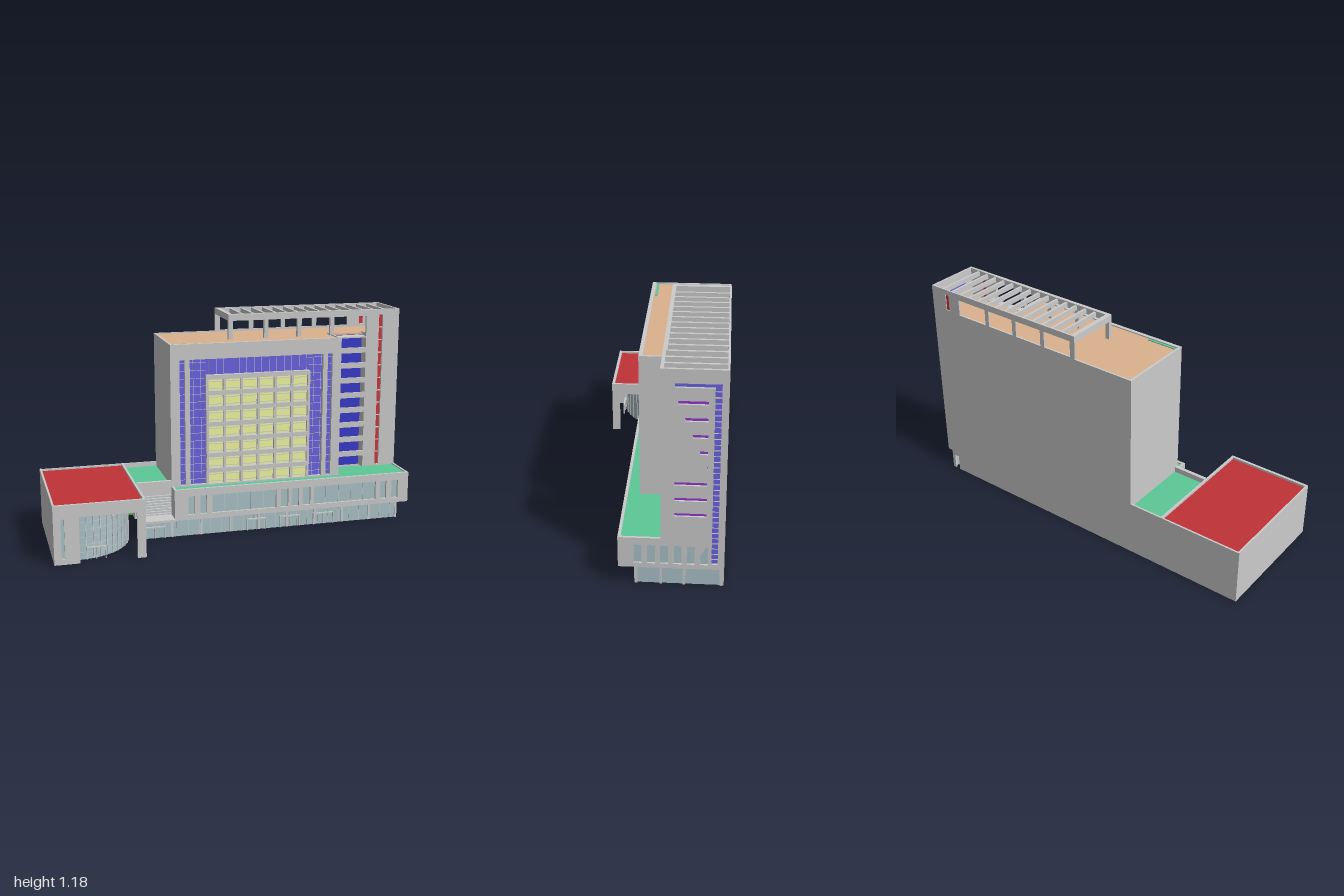
import * as THREE from 'three';

const paint = (color, extra = {}) => new THREE.MeshStandardMaterial({ color, ...extra });

export function createModel() {
  const root = new THREE.Group();
  root.name = 'building';
  const two = { side: THREE.DoubleSide };
  const M = {
    grey: paint(0xcccccc), glass: paint(0xaac2c8, two), blue: paint(0x6a62e0, two),
    navy: paint(0x3a3acb, two), yellow: paint(0xf0f8a0, two), red: paint(0xd03436, two),
    purple: paint(0x9038d0, two), redRoof: paint(0xc03236), green: paint(0x5cc898),
    floorGreen: paint(0x4fa83c), tan: paint(0xdcb28e),
  };

  function group(name) {
    const g = new THREE.Group();
    g.name = name;
    root.add(g);
    return g;
  }
  function add(parent, name, geo, mat) {
    const m = new THREE.Mesh(geo, mat);
    m.name = name;
    parent.add(m);
    return m;
  }
  // Box given by its limits
  function box(parent, name, mat, x0, x1, y0, y1, z0, z1) {
    const m = add(parent, name, new THREE.BoxGeometry(x1 - x0, y1 - y0, z1 - z0), mat);
    m.position.set((x0 + x1) / 2, (y0 + y1) / 2, (z0 + z1) / 2);
    return m;
  }
  const rect = (a, b, c, d) => [[a, c], [b, c], [b, d], [a, d]];
  const shapeOf = pts => new THREE.Shape(pts.map(p => new THREE.Vector2(p[0], p[1])));

  // Upright wall (extruded outward) with openings and panels set near its inner face
  function facade(name, outline, windows, depth = 0.015, inset = 0.002) {
    const g = group(name);
    const wall = shapeOf(outline);
    for (const w of windows) {
      wall.holes.push(shapeOf(w.pts));
      if (w.mat) add(g, 'panel', new THREE.ShapeGeometry(shapeOf(w.pts)), w.mat).position.z = inset;
    }
    add(g, 'wall', new THREE.ExtrudeGeometry(wall, { depth, bevelEnabled: false }), M.grey);
    return g;
  }
  // Turns a facade to face +x: its horizontal coordinate becomes -z
  function faceRight(g, x) {
    g.rotation.y = Math.PI / 2;
    g.position.x = x;
  }

  // ---- Back wall, with the roof frame openings at the top
  const openings = [[0.04, 0.21], [0.235, 0.4], [0.425, 0.59], [0.615, 0.805]];
  const back = facade('backWall',
    [[-1, 0], [0.92, 0], [0.92, 0.09], [0.95, 0.09], [0.95, 0], [0.97, 0], [0.97, 0.115], [1, 0.115],
      [1, 1.18], [0.01, 1.18], [0.01, 1.05], [-0.34, 1.05], [-0.34, 0.31], [-1, 0.31]],
    [...openings.map(o => ({ pts: rect(o[0], o[1], 1.055, 1.145) })),
      { pts: rect(0.88, 0.903, 1.06, 1.15), mat: M.red }], 0.01, 0.005);
  back.position.z = -0.35;

  // ---- Right wall with its coloured strips and podium windows
  const side = [];
  for (const [a, b] of [[-0.085, -0.045], [-0.02, 0.02], [0.043, 0.08], [0.106, 0.145], [0.17, 0.208]])
    side.push({ pts: rect(a, b, 0.14, 0.245), mat: M.glass });
  side.push({ pts: [[0.235, 0.14], [0.272, 0.14], [0.272, 0.245], [0.262, 0.245], [0.235, 0.195]], mat: M.glass });
  side.push({ pts: [[0.288, 0.145], [0.318, 0.145], [0.318, 1.11], [0.11, 1.11], [0.11, 1.09], [0.288, 1.09]], mat: M.blue });
  [[1.015, 0.12], [0.93, 0.153], [0.845, 0.187], [0.76, 0.22], [0.68, 0.253], [0.593, 0.11], [0.508, 0.11], [0.423, 0.11]]
    .forEach(([y, a], i) => {
      const slant = i < 5 ? 0.006 : 0;
      side.push({ pts: [[a + slant, y - 0.009], [0.26, y - 0.009], [0.26, y + 0.009], [a, y + 0.009]], mat: M.purple });
    });
  faceRight(facade('rightWall',
    [[-0.16, 0.115], [0.35, 0.115], [0.35, 1.18], [0.045, 1.18], [0.045, 0.285], [-0.16, 0.285]], side, 0.012), 0.988);
  for (let y = 0.17; y < 1.1; y += 0.03) box(root, 'stripBar', M.grey, 0.991, 0.995, y, y + 0.002, -0.318, -0.288);

  // ---- Podium
  const podium = [[-0.265, -0.23], [-0.2, -0.165], [-0.135, 0.225], [0.25, 0.293], [0.312, 0.355],
    [0.376, 0.42], [0.442, 0.805], [0.832, 0.868], [0.9, 0.938]];
  facade('podiumFront', rect(-0.34, 1, 0.115, 0.285),
    podium.map(p => ({ pts: rect(p[0], p[1], 0.143, 0.245), mat: M.glass }))).position.z = 0.145;
  const pod = group('podium');
  for (const [a, b] of [[-0.135, 0.225], [0.442, 0.805]])
    for (let i = 1; i < 5; i++) {
      const x = a + (b - a) * i / 5;
      box(pod, 'mullion', M.grey, x - 0.001, x + 0.001, 0.143, 0.245, 0.147, 0.151);
    }
  box(pod, 'podiumLeftWall', M.grey, -0.34, -0.328, 0.115, 0.285, 0.06, 0.147);
  box(pod, 'podiumRoof', M.green, -0.33, 0.99, 0.27, 0.278, -0.06, 0.147);
  box(pod, 'podiumFloor', M.green, -0.53, 0.99, 0.115, 0.123, -0.341, 0.147);

  // ---- Ground floor glazing, columns and doors
  const ground = group('groundFloor');
  box(ground, 'frontGlass', M.glass, -0.53, 0.965, 0, 0.115, 0.075, 0.08);
  box(ground, 'sideGlass', M.glass, 0.96, 0.965, 0, 0.115, -0.34, 0.08);
  for (const z of [0.075, -0.045, -0.157, -0.335])
    box(ground, 'sideColumn', M.grey, 0.957, 0.972, 0, 0.115, z - 0.006, z + 0.006);
  for (let i = 0; i <= 8; i++) {
    const x = -0.34 + i * 0.163;
    box(ground, 'frontColumn', M.grey, x - 0.006, x + 0.006, 0, 0.115, 0.07, 0.085);
  }
  for (let i = 0; i < 24; i++)
    box(ground, 'mullion', M.grey, -0.5 + i * 0.062, -0.498 + i * 0.062, 0, 0.115, 0.078, 0.082);
  for (let i = 0; i < 6; i++)
    box(ground, 'innerColumn', M.grey, -0.45 + i * 0.19, -0.435 + i * 0.19, 0, 0.115, -0.138, -0.123);
  function door(x0, x1, z) {
    const d = group('door');
    box(d, 'doorHead', M.grey, x0, x1, 0.06, 0.066, z, z + 0.01);
    for (const x of [x0, (x0 + x1) / 2 - 0.002, x1 - 0.004]) box(d, 'doorPost', M.grey, x, x + 0.004, 0, 0.06, z, z + 0.01);
  }
  for (const [a, b] of [[0.08, 0.19], [0.27, 0.385], [0.465, 0.585], [-0.49, -0.38]]) door(a, b, 0.08);

  // ---- Main tower
  facade('towerFront', rect(-0.34, 0.61, 0.275, 1.05), [
    { pts: rect(-0.29, -0.262, 0.285, 0.967), mat: M.blue },
    { pts: rect(-0.235, 0.507, 0.285, 0.967), mat: M.blue },
    { pts: rect(0.533, 0.56, 0.285, 0.967), mat: M.blue }], 0.02).position.z = 0.065;
  const tower = group('tower');
  box(tower, 'leftWall', M.grey, -0.34, -0.328, 0.115, 1.05, -0.341, 0.066);
  box(tower, 'rightWall', M.grey, 0.598, 0.61, 0.275, 1.05, -0.11, 0.066);
  box(tower, 'roof', M.tan, -0.33, 0.6, 1.035, 1.044, -0.341, 0.07);
  box(tower, 'roofRight', M.tan, 0.6, 0.99, 1.035, 1.044, -0.341, -0.1);
  box(tower, 'roofOutlet', M.green, -0.33, -0.155, 1.044, 1.048, 0.047, 0.06);
  // Thin bars on the blue glazing
  for (let y = 0.31; y < 0.95; y += 0.0425)
    for (const [a, b] of [[-0.29, -0.262], [-0.235, -0.145], [0.425, 0.507], [0.533, 0.56]])
      box(tower, 'blueBar', M.grey, a, b, y, y + 0.002, 0.066, 0.069);
  for (let x = -0.215; x < 0.5; x += 0.042)
    box(tower, 'blueMullion', M.grey, x, x + 0.002, 0.285, 0.967, 0.066, 0.069);
  // Yellow windows in a projecting lattice
  const grid = group('windowGrid');
  box(grid, 'yellowGlass', M.yellow, -0.145, 0.425, 0.28, 0.875, 0.066, 0.073);
  for (let r = 0; r <= 7; r++) {
    const y = 0.278 + r * 0.085;
    box(grid, 'ledge', M.grey, -0.147, 0.43, r ? y - 0.016 : y, y + 0.008, 0.066, 0.09);
    if (r < 7) for (const d of [0.017, 0.055])
      box(grid, 'rail', M.grey, -0.145, 0.425, y + d, y + d + 0.003, 0.07, 0.079);
  }
  for (let c = 0; c <= 6; c++) {
    const x = -0.141 + c * 0.0945;
    box(grid, 'post', M.grey, x - 0.007, x + 0.007, 0.28, 0.878, 0.066, 0.088);
  }

  // ---- Right tower: red strip and balconies
  facade('rightTowerFront', rect(0.805, 1, 0.275, 1.18),
    [{ pts: rect(0.88, 0.903, 0.285, 1.15), mat: M.red }]).position.z = -0.06;
  for (let i = 1; i < 12; i++)
    box(root, 'redStripBar', M.grey, 0.88, 0.903, 0.285 + i * 0.072, 0.29 + i * 0.072, -0.058, -0.05);
  const balconies = group('balconies');
  box(balconies, 'balconyGlass', M.navy, 0.608, 0.807, 0.275, 1.04, -0.115, -0.11);
  box(balconies, 'balconySideWall', M.grey, 0.805, 0.815, 0.275, 1.05, -0.115, -0.058);
  for (let i = 0; i < 9; i++) {
    const y = 0.345 + i * 0.0852;
    box(balconies, 'balconySlab', M.grey, 0.61, 0.806, y - 0.003, y + 0.005, -0.112, -0.047);
    if (i < 8) box(balconies, 'balconyRail', M.grey, 0.61, 0.806, y + 0.005, y + 0.028, -0.053, -0.045);
  }

  // ---- Open roof frame with cross slats
  const frame = group('roofFrame');
  box(frame, 'frontBeam', M.grey, 0.01, 0.81, 1.145, 1.18, -0.065, -0.045);
  box(frame, 'leftBeam', M.grey, 0.01, 0.035, 1.145, 1.18, -0.341, -0.06);
  for (const x of [0.01, 0.211, 0.401, 0.591]) box(frame, 'framePost', M.grey, x, x + 0.024, 1.04, 1.146, -0.067, -0.046);
  for (let i = 1; i < 15; i++)
    box(frame, 'slat', M.grey, 0.032 + i * 0.0635, 0.045 + i * 0.0635, 1.15, 1.175, -0.341, -0.06);

  // ---- Link between the annex and the tower
  const link = group('link');
  box(link, 'linkFront', M.grey, -0.53, -0.34, 0.24, 0.315, 0.06, 0.08);
  box(link, 'linkGlass', M.glass, -0.53, -0.34, 0.12, 0.24, 0.06, 0.066);
  for (let i = 0; i < 8; i++)
    box(link, 'louvre', M.grey, -0.53, -0.34, 0.128 + i * 0.0145, 0.135 + i * 0.0145, 0.062, 0.08);
  box(link, 'linkRoof', M.green, -0.53, -0.335, 0.275, 0.285, -0.341, 0.062);
  box(link, 'canopy', M.grey, -0.53, -0.34, 0.113, 0.125, 0.07, 0.168);

  // ---- Annex with a curved glass corner behind a pillar
  facade('annexFront', [[-1, 0], [-0.87, 0], [-0.87, 0.245], [-0.575, 0.245], [-0.575, 0], [-0.53, 0], [-0.53, 0.312], [-1, 0.312]],
    [{ pts: rect(-0.962, -0.945, 0.03, 0.24), mat: M.glass }]).position.z = 0.335;
  faceRight(facade('annexRight', [[-0.35, 0], [-0.305, 0], [-0.305, 0.245], [-0.08, 0.245], [-0.08, 0.118],
    [0.35, 0.118], [0.35, 0.312], [-0.35, 0.312]], [], 0.012), -0.542);
  const annex = group('annex');
  box(annex, 'annexLeftWall', M.grey, -1, -0.99, 0, 0.312, -0.35, 0.34);
  box(annex, 'annexRoof', M.redRoof, -0.992, -0.535, 0.29, 0.3, -0.342, 0.34);
  box(annex, 'soffit', M.grey, -0.992, -0.535, 0.245, 0.25, -0.03, 0.34);
  box(annex, 'frontReturn', M.grey, -0.88, -0.87, 0, 0.245, 0.29, 0.336);
  const R = 0.3, cx = -0.87, H = 0.245;
  const arc = (name, r, h, y, mat) => add(annex, name,
    new THREE.CylinderGeometry(r, r, h, 24, 1, true, 0, Math.PI / 2), mat).position.set(cx, y, 0);
  arc('curvedGlass', R, H, H / 2, M.glass);
  const ringMat = paint(0xcccccc, two);
  for (let i = 1; i <= 6; i++) arc('glassRing', R + 0.002, 0.003, i * 0.04, ringMat);
  for (let i = 0; i <= 12; i++) {
    const t = i / 12 * Math.PI / 2;
    const m = box(annex, 'curvedMullion', M.grey, -0.002, 0.002, 0, H, -0.004, 0.004);
    m.position.set(cx + R * Math.sin(t), H / 2, R * Math.cos(t));
    m.rotation.y = t;
  }
  door(-0.83, -0.73, 0.296);
  const floor = new THREE.Shape();
  floor.moveTo(-0.99, -0.34);
  floor.lineTo(-0.53, -0.34);
  floor.lineTo(-0.53, 0);
  floor.lineTo(cx + R, 0);
  floor.absarc(cx, 0, R - 0.002, 0, Math.PI / 2, false);
  floor.lineTo(-0.99, R);
  const slab = add(annex, 'annexFloor', new THREE.ExtrudeGeometry(floor, { depth: 0.008, bevelEnabled: false }), M.floorGreen);
  slab.rotation.x = Math.PI / 2;
  slab.position.y = 0.123;
  for (const x of [-0.88, -0.73, -0.58]) for (const z of [-0.18, 0]) {
    const c = add(annex, 'annexColumn', new THREE.CylinderGeometry(0.009, 0.009, 0.116, 12), M.grey);
    c.position.set(x, 0.058, z);
  }
  return root;
}
